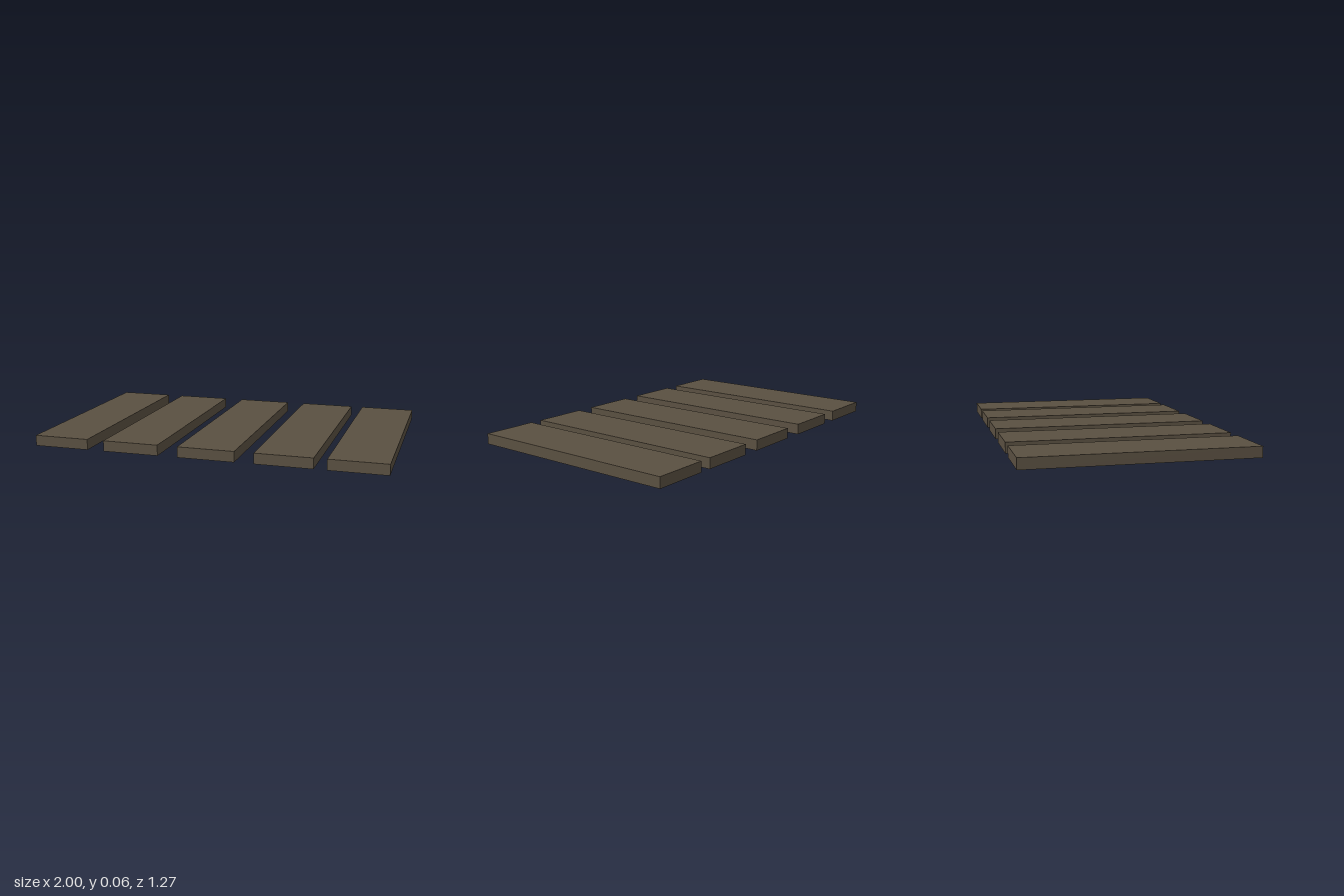
import * as THREE from 'three';

export function createModel() {
  const model = new THREE.Group();
  model.name = 'plankRow';

  const wood = new THREE.MeshStandardMaterial({ color: 0x5a5041 });
  wood.name = 'weathered wood';

  // Flat planks laid side by side with uneven gaps
  const width = 0.32, height = 0.06, length = 1.254;
  const plankGeometry = new THREE.BoxGeometry(width, height, length);
  const row = new THREE.Group();
  row.name = 'planks';
  [-0.836, -0.418, 0.017, 0.444, 0.834].forEach((x, i) => {
    const plank = new THREE.Mesh(plankGeometry, wood);
    plank.name = `plank${i + 1}`;
    plank.position.set(x, height / 2, 0);
    row.add(plank);
  });

  // The whole row sits very slightly askew
  row.rotation.y = 0.006;
  model.add(row);
  return model;
}
